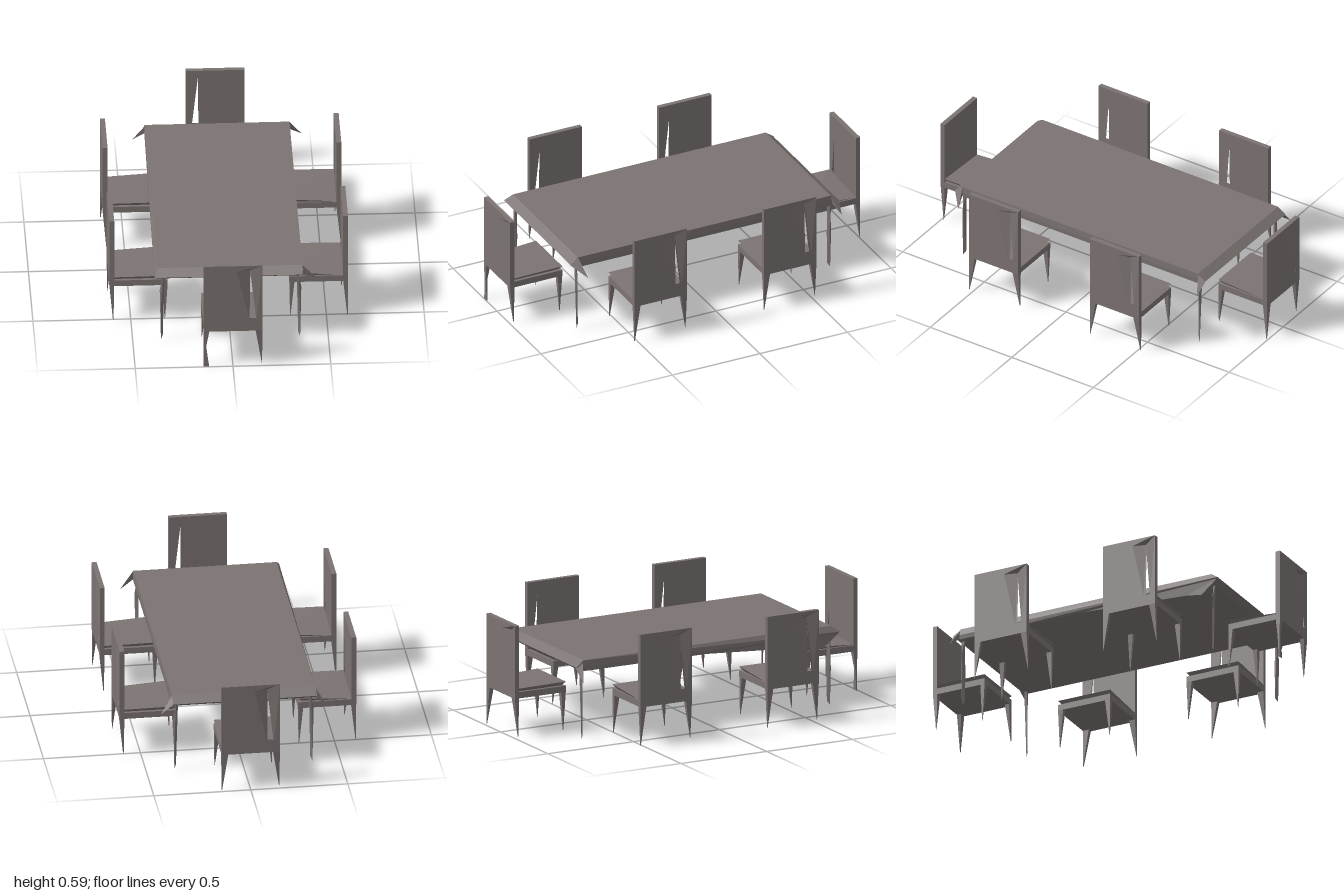
import * as THREE from 'three';
import { ConvexGeometry } from 'three/addons/geometries/ConvexGeometry.js';

const wood = new THREE.MeshStandardMaterial({ color: 0x7b7372, flatShading: true, side: THREE.DoubleSide });
wood.name = 'greyBrownWood';

function add(parent, name, geometry) {
  const mesh = new THREE.Mesh(geometry, wood);
  mesh.name = name;
  parent.add(mesh);
  return mesh;
}

// Faceted solid around a few corner points
function hull(parent, name, points) {
  return add(parent, name, new ConvexGeometry(points.map(p => new THREE.Vector3(...p))));
}

function box(parent, name, x0, x1, y0, y1, z0, z1) {
  const g = new THREE.BoxGeometry(x1 - x0, y1 - y0, z1 - z0);
  g.translate((x0 + x1) / 2, (y0 + y1) / 2, (z0 + z1) / 2);
  return add(parent, name, g);
}

// Thin faces joining listed points
function sheet(parent, name, points, faces) {
  const g = new THREE.BufferGeometry();
  g.setAttribute('position', new THREE.Float32BufferAttribute(faces.flat().flatMap(i => points[i]), 3));
  g.computeVertexNormals();
  return add(parent, name, g);
}

// Square-topped leg that narrows to a point
function spikeLeg(parent, name, x0, x1, z0, z1, top, tip) {
  return hull(parent, name, [
    [x0, top, z0], [x1, top, z0], [x1, top, z1], [x0, top, z1],
    tip, [tip[0] * 0.985, tip[1], tip[2]], [tip[0], tip[1], tip[2] - 0.003]
  ]);
}

// Chair with the outside of its back at z = 0 and its seat reaching to -z
function makeChair(name, wideFoot) {
  const chair = new THREE.Group();
  chair.name = name;
  const W = 0.15, T = 0.025, F = -0.298;

  // Backrest: two faces pierced by a slit, with a sunken upper corner
  const outline = [[-W, 0.21], [-W, 0.594], [W, 0.594], [W, 0.21], [0.02, 0.56], [0.088, 0.56], [0.085, 0.27], [0.12, 0.27]];
  const outer = outline.map(([x, y], i) => [x, y, i === 5 ? -0.018 : 0]);
  const inner = outline.map(([x, y]) => [x, y, -T]);
  const skin = [[0, 4, 1], [1, 4, 2], [4, 5, 2], [4, 6, 5], [0, 6, 4], [0, 3, 6], [6, 3, 7], [5, 7, 2], [7, 3, 2]];
  const flipped = skin.map(f => [...f].reverse().map(i => i + 8));
  const rim = [];
  for (let i = 0; i < 4; i++) {
    const j = (i + 1) % 4;
    rim.push([i, j, j + 8], [i, j + 8, i + 8]);
  }
  sheet(chair, 'backrest', [...outer, ...inner], [...skin, ...flipped, ...rim]);

  // Seat frame and the tilted cushion above it
  box(chair, 'seatFrame', -W, W, 0.21, 0.243, F, -T);
  hull(chair, 'seatCushion', [
    [-W + 0.02, 0.24, F + 0.02], [W - 0.02, 0.24, F + 0.02], [W - 0.02, 0.24, -T], [-W + 0.02, 0.24, -T],
    [-W, 0.265, F], [W, 0.265, F], [W, 0.262, -T], [-W, 0.247, -T]
  ]);

  // Legs
  for (const s of [-1, 1]) {
    const side = s < 0 ? 'Right' : 'Left';
    spikeLeg(chair, 'frontLeg' + side, s * 0.12, s * W, F, F + 0.025, 0.215, [s * 0.147, 0.01, F + (s < 0 ? 0.004 : 0.016)]);
    if (s < 0 && wideFoot) {
      hull(chair, 'rearLegRight', [
        [-W, 0.215, -T], [-0.12, 0.215, -T], [-W, 0.215, 0], [-0.12, 0.215, 0],
        [-W, 0.12, -0.004], [-0.137, 0.12, -0.004], [-W, 0.12, -0.014], [-0.137, 0.12, -0.014]
      ]);
      hull(chair, 'rearFootRight', [
        [-W, 0.12, -0.004], [-0.137, 0.12, -0.004], [-W, 0.12, -0.014], [-0.137, 0.12, -0.014],
        [-W, 0.002, -0.002], [-0.122, 0.002, -0.002], [-W, 0.002, -0.008], [-0.122, 0.002, -0.008]
      ]);
    } else {
      spikeLeg(chair, 'rearLeg' + side, s * 0.115, s * W, -T, 0, 0.215, [s * W, 0.01, s < 0 ? -0.001 : -0.018]);
    }
  }
  return chair;
}

function makeTable() {
  const table = new THREE.Group();
  table.name = 'table';

  // Slab with sloping end edges
  const slab = [];
  for (const s of [-1, 1]) {
    const left = s > 0 ? -0.39 : -0.375;
    slab.push([-0.372, 0.43, s * 0.722], [0.368, 0.43, s * 0.722]);
    slab.push([left, 0.397, s * 0.765], [0.37, 0.397, s * 0.765]);
    slab.push([-0.372, 0.373, s * 0.73], [0.368, 0.373, s * 0.73]);
  }
  hull(table, 'tableTop', slab);

  // Pointed corners
  const corners = [[0.43, 0.34, -0.755, 1, -1], [-0.435, 0.325, -0.755, -1, -1], [0.44, 0.34, 0.70, 1, 1]];
  for (const [x, y, z, sx, sz] of corners) {
    hull(table, 'cornerPoint', [
      [x, y, z], [sx * 0.366, 0.43, sz * 0.722], [sx * 0.368, 0.397, sz * 0.768], [sx * 0.355, 0.39, sz * 0.725]
    ]);
  }

  // Drooping edge along one long side
  sheet(table, 'edgeFlap', [[-0.372, 0.376, -0.05], [-0.383, 0.32, 0.67], [-0.388, 0.39, 0.76], [-0.38, 0.335, 0.58]],
    [[0, 3, 2], [3, 1, 2]]);

  // Slim legs
  for (const sx of [-1, 1]) for (const sz of [-1, 1]) {
    hull(table, 'tableLeg', [
      [sx * 0.342, 0.38, sz * 0.715], [sx * 0.348, 0.38, sz * 0.73], [sx * 0.338, 0.38, sz * 0.728],
      [sx * 0.343, 0.2, sz * 0.712], [sx * 0.362, 0.3, sz * 0.722], [sx * 0.356, 0.2, sz * 0.73],
      [sx * 0.346, 0.03, sz * 0.712], [sx * 0.356, 0.008, sz * 0.725]
    ]);
  }
  return table;
}

export function createModel() {
  const model = new THREE.Group();
  model.name = 'diningSet';
  model.add(makeTable());

  // Chairs: one at each end, two along each side
  const places = [
    ['frontChair', 0, 1, 0], ['backChair', 0, -1, Math.PI],
    ['leftFrontChair', 0.61, 0.37, Math.PI / 2], ['leftBackChair', 0.61, -0.37, Math.PI / 2],
    ['rightFrontChair', -0.61, 0.37, -Math.PI / 2], ['rightBackChair', -0.61, -0.37, -Math.PI / 2]
  ];
  for (const [name, x, z, turn] of places) {
    const chair = makeChair(name, name === 'frontChair');
    chair.position.set(x, 0, z);
    chair.rotation.y = turn;
    model.add(chair);
  }
  return model;
}
